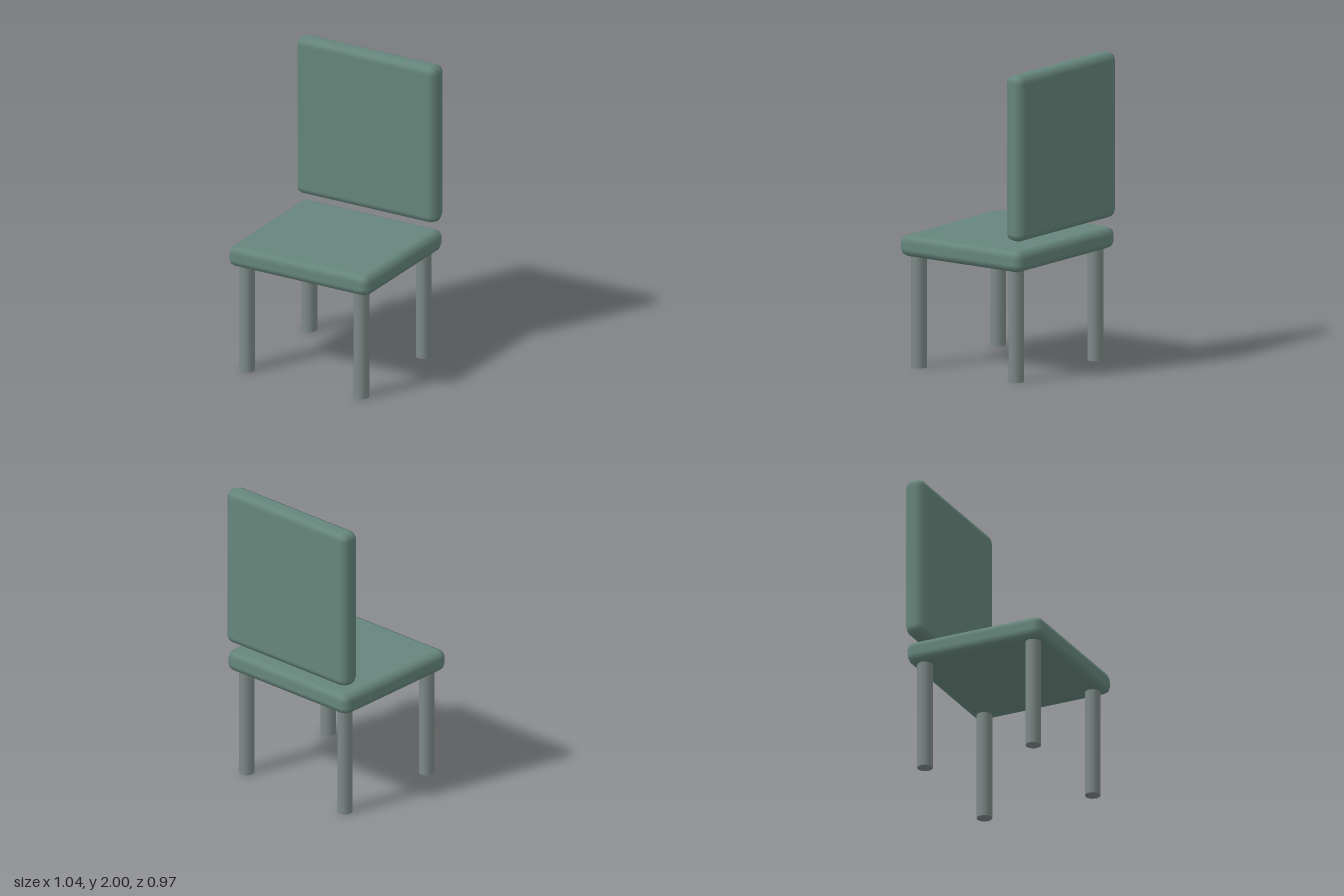
import * as THREE from 'three';
import { RoundedBoxGeometry } from 'three/addons/geometries/RoundedBoxGeometry.js';

export function createModel() {
  const chair = new THREE.Group();
  chair.name = 'chair';
  const cushionMaterial = new THREE.MeshStandardMaterial({ color: 0x66867c });
  const legMaterial = new THREE.MeshStandardMaterial({ color: 0x7d8987 });

  function add(name, geometry, material, x, y, z) {
    const mesh = new THREE.Mesh(geometry, material);
    mesh.name = name;
    mesh.position.set(x, y, z);
    chair.add(mesh);
  }

  // Padded panels with a coarse rounded edge; the backrest floats above the seat
  add('seat', new RoundedBoxGeometry(1.04, 0.142, 0.96, 1, 0.05), cushionMaterial, 0, 0.793, 0.005);
  add('backrest', new RoundedBoxGeometry(1.04, 1.077, 0.134, 1, 0.05), cushionMaterial, 0, 1.4615, -0.418);

  // Four round legs
  const legHeight = 0.723;
  const legGeometry = new THREE.CylinderGeometry(0.05, 0.05, legHeight, 12);
  for (const [side, x] of [['Left', 0.423], ['Right', -0.423]]) {
    for (const [end, z] of [['front', 0.39], ['back', -0.378]]) {
      add(`${end}${side}Leg`, legGeometry, legMaterial, x, legHeight / 2, z);
    }
  }

  return chair;
}
